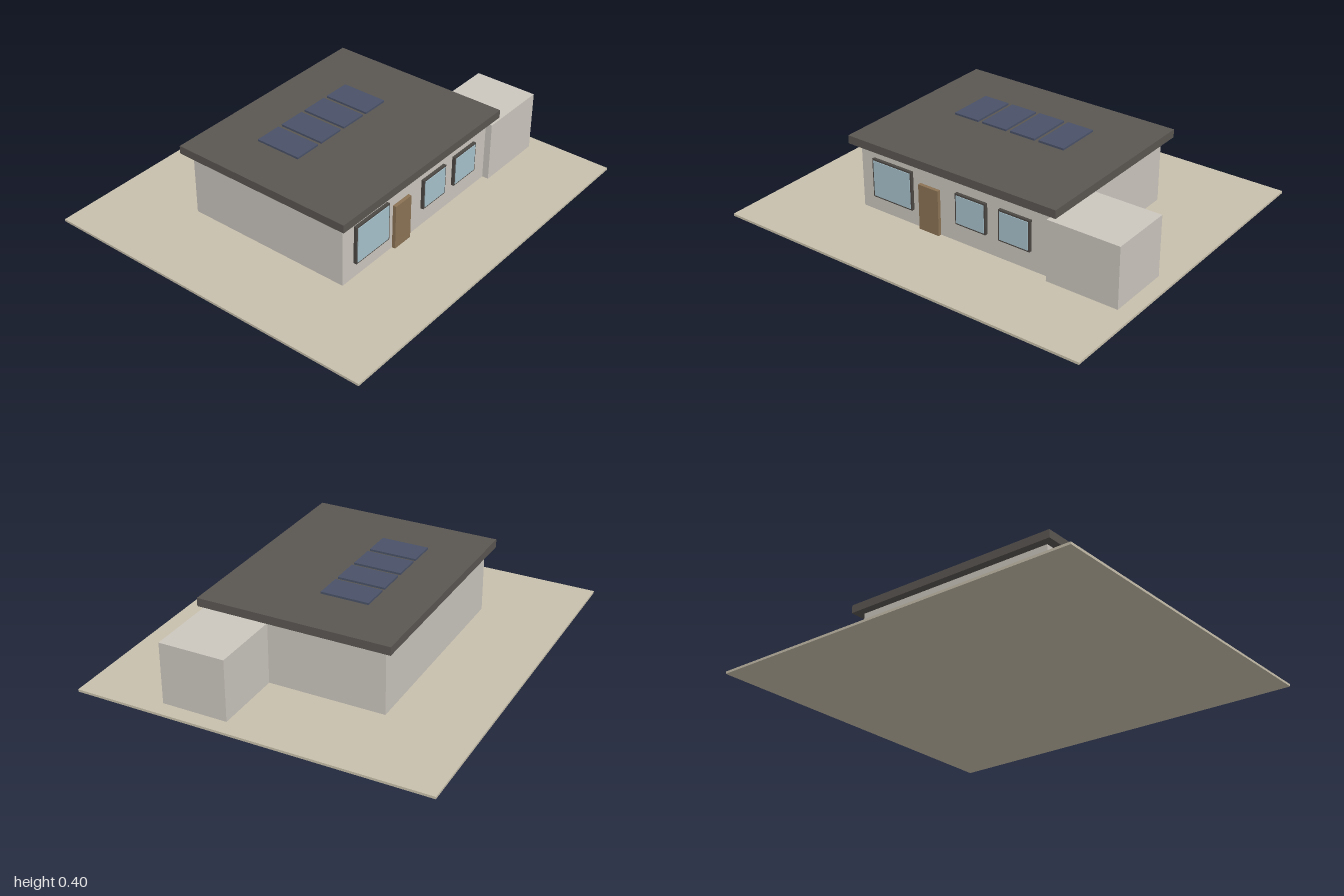
import * as THREE from 'three';

const mat = (color) => new THREE.MeshStandardMaterial({ color });

const materials = {
  ground: mat(0xc8c0ac),
  wall: mat(0xcbc6be),
  roof: mat(0x5a5652),
  panel: mat(0x4a5268),
  frame: mat(0x4c4844),
  glass: mat(0xa8c2cc),
  door: mat(0x8b7355),
};

// Box given by its min/max limits on each axis
function block(name, material, [x0, x1], [y0, y1], [z0, z1]) {
  const mesh = new THREE.Mesh(new THREE.BoxGeometry(x1 - x0, y1 - y0, z1 - z0), material);
  mesh.position.set((x0 + x1) / 2, (y0 + y1) / 2, (z0 + z1) / 2);
  mesh.name = name;
  return mesh;
}

const GROUND_TOP = 0.012;
const WALL_FRONT = 0.446;
const ROOF_TOP = 0.39;

// Dark frame with a slightly proud glass pane, set on the front wall
function frontWindow(name, [x0, x1], [y0, y1]) {
  const rim = 0.008;
  const group = new THREE.Group();
  group.name = name;
  group.add(
    block('windowFrame', materials.frame, [x0, x1], [y0, y1], [WALL_FRONT - 0.01, WALL_FRONT + 0.016]),
    block('windowGlass', materials.glass, [x0 + rim, x1 - rim], [y0 + rim, y1 - rim], [WALL_FRONT, WALL_FRONT + 0.019]),
  );
  return group;
}

export function createModel() {
  const house = new THREE.Group();
  house.name = 'house';

  // Plot, main building and side annex
  house.add(
    block('ground', materials.ground, [-1, 1], [0, GROUND_TOP], [-0.89, 0.89]),
    block('walls', materials.wall, [-0.556, 0.552], [GROUND_TOP, 0.348], [-WALL_FRONT, WALL_FRONT]),
    block('roof', materials.roof, [-0.6, 0.596], [0.348, ROOF_TOP], [-0.488, 0.488]),
    block('garage', materials.wall, [0.544, 0.92], [GROUND_TOP, 0.324], [0.147, 0.48]),
  );

  // Door and windows on the front
  house.add(
    block('door', materials.door, [-0.195, -0.079], [GROUND_TOP, 0.248], [WALL_FRONT - 0.01, WALL_FRONT + 0.018]),
    frontWindow('largeWindow', [-0.478, -0.239], [0.092, 0.294]),
    frontWindow('smallWindowInner', [0.021, 0.195], [0.112, 0.272]),
    frontWindow('smallWindowOuter', [0.267, 0.441], [0.112, 0.272]),
  );

  // Row of solar panels
  for (let i = 0; i < 4; i++) {
    const x = -0.341 + i * 0.1667;
    house.add(block('solarPanel', materials.panel, [x, x + 0.143], [ROOF_TOP, 0.4], [-0.234, 0.009]));
  }

  return house;
}
